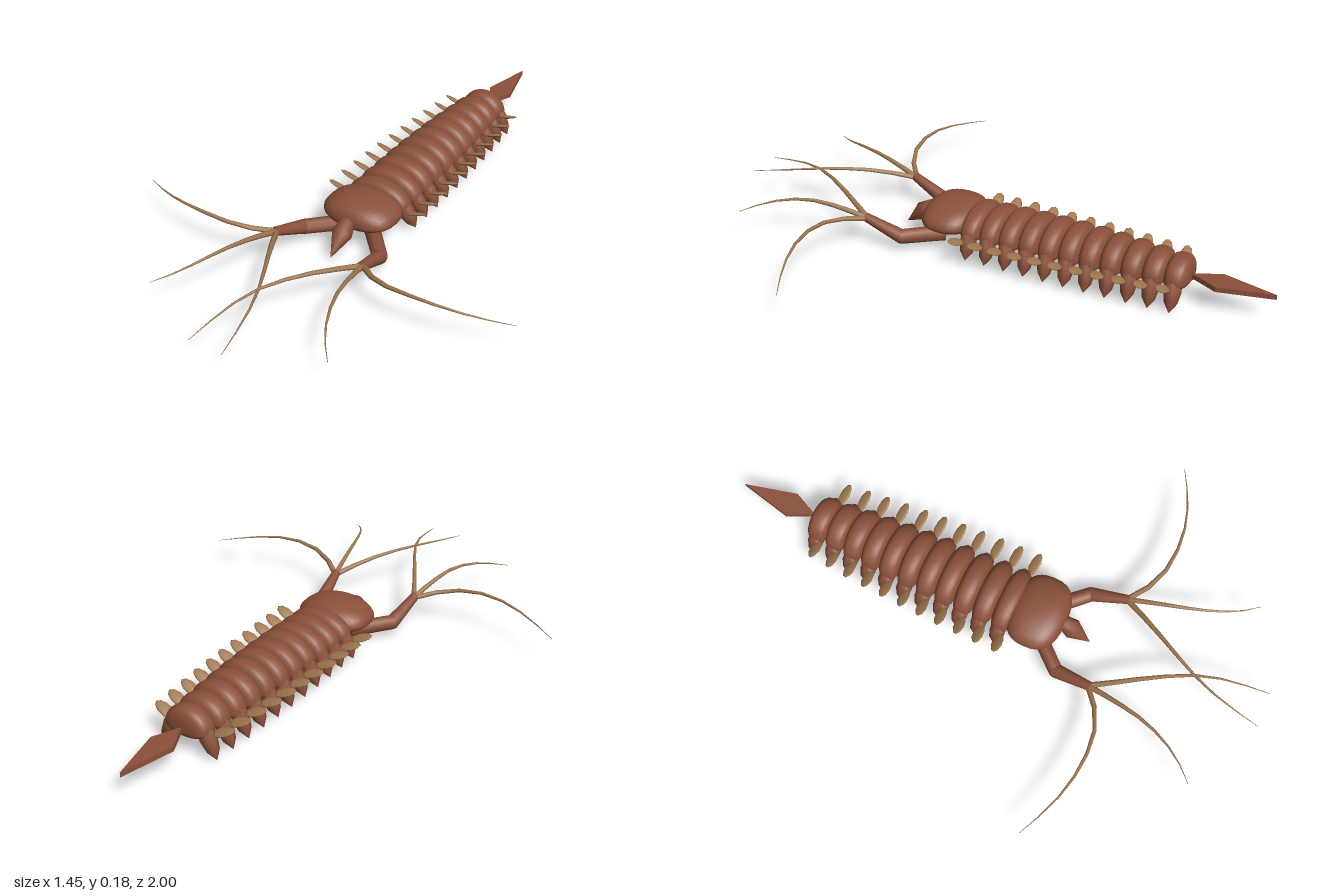
import * as THREE from 'three';

const V = (x, y, z) => new THREE.Vector3(x, y, z);

export function createModel() {
  const shell = new THREE.MeshStandardMaterial({ color: 0x8b503b });
  shell.name = 'reddish brown shell';
  const tan = new THREE.MeshStandardMaterial({ color: 0xa07850 });
  tan.name = 'tan limbs';
  const model = new THREE.Group();
  model.name = 'arthropod';

  const add = (name, geo, mat) => {
    const mesh = new THREE.Mesh(geo, mat);
    mesh.name = name;
    model.add(mesh);
    return mesh;
  };

  // Barrel-like dome along z with a shallow belly; a higher power gives squarer ends
  const dome = (name, y, z, rx, up, down, rz, power) => {
    const profile = [];
    for (let i = 0; i <= 16; i++) {
      const a = (i / 16 - 0.5) * Math.PI, s = Math.sin(a);
      profile.push(new THREE.Vector2(Math.abs(Math.cos(a)) ** (2 / power), Math.sign(s) * Math.abs(s) ** (2 / power)));
    }
    const geo = new THREE.LatheGeometry(profile, 28).rotateX(Math.PI / 2);
    const p = geo.attributes.position;
    for (let i = 0; i < p.count; i++) {
      const h = p.getY(i);
      p.setXYZ(i, p.getX(i) * rx, h * (h > 0 ? up : down), p.getZ(i) * rz);
    }
    geo.computeVertexNormals();
    add(name, geo, shell).position.set(0, y, z);
  };

  // Turned limb from a to b; rings are [radius, fraction of length]
  const limb = (name, a, b, rings, sides) => {
    const d = b.clone().sub(a), length = d.length();
    const geo = new THREE.LatheGeometry(rings.map(([r, t]) => new THREE.Vector2(r, t * length)), sides);
    const mesh = add(name, geo, shell);
    mesh.position.copy(a);
    mesh.quaternion.setFromUnitVectors(V(0, 1, 0), d.normalize());
  };

  // Whip: a tube whose rings shrink towards the tip
  const whip = (name, points) => {
    const n = 7, sides = 6;
    const curve = new THREE.CatmullRomCurve3(points);
    const geo = new THREE.TubeGeometry(curve, n, 0.0105, sides);
    const p = geo.attributes.position, v = V(0, 0, 0);
    for (let i = 0; i < p.count; i++) {
      const t = Math.floor(i / (sides + 1)) / n;
      const c = curve.getPointAt(t);
      v.fromBufferAttribute(p, i).sub(c).multiplyScalar(1 - 0.92 * t).add(c);
      p.setXYZ(i, v.x, v.y, v.z);
    }
    add(name, geo, tan);
  };

  // Head shield and pointed snout
  dome('headShield', 0.105, 0.167, 0.137, 0.062, 0.042, 0.1, 2.6);
  limb('snout', V(0, 0.122, 0.245), V(0, 0.024, 0.365), [[0, 0], [0.026, 0.12], [0.036, 0.42], [0, 1]], 10);

  // Eleven trunk segments, each with a pair of legs and paddles
  const count = 11;
  for (let i = 0; i < count; i++) {
    const t = i / (count - 1);
    const z = 0.06 - 0.735 * t;
    const w = 0.121 - 0.036 * t ** 2.2;
    const top = 0.166 + 0.014 * Math.sin(Math.PI * Math.min(1, t * 1.02)) - 0.004 * t;
    dome('trunkSegment', 0.09, z, w, top - 0.09, 0.03, 0.043, 2.9);
    for (const s of [-1, 1]) {
      // Downward walking leg, stout with a pointed end
      limb('leg', V(s * (w - 0.03), 0.1, z), V(s * (w + 0.022), 0.016 - 0.016 * t, z - 0.006),
        [[0, 0], [0.026, 0.05], [0.03, 0.35], [0.022, 0.7], [0, 1]], 8);
      // Flat outer paddle, flaring upward
      const paddle = add('paddle', new THREE.SphereGeometry(1, 10, 8), tan);
      paddle.scale.set(0.044, 0.006, 0.021);
      paddle.position.set(s * (w + 0.038 - 0.008 * t), 0.093, z + 0.019);
      paddle.rotation.set(-0.35, -s * 0.25, s * 0.3);
    }
  }

  // Flat kite-shaped tail spine
  const kite = new THREE.Shape([[0, 0.715], [0.045, 0.81], [0, 1], [-0.045, 0.81]]
    .map(([x, y]) => new THREE.Vector2(x, y)));
  const tail = add('tailSpine', new THREE.ExtrudeGeometry(kite, { depth: 0.018, bevelEnabled: false }), shell);
  tail.rotation.x = -Math.PI / 2;
  tail.position.y = 0.085;

  // Jointed front arms, each ending in three whips
  for (const s of [-1, 1]) {
    const P = (x, y, z) => V(s * x, y, z);
    const elbow = P(0.155, 0.053, 0.3), wrist = P(0.173, 0.108, 0.435);
    limb('upperArm', P(0.05, 0.045, 0.185), elbow, [[0, 0], [0.028, 0], [0.026, 1], [0, 1]], 10);
    add('elbow', new THREE.SphereGeometry(0.026, 12, 8), shell).position.copy(elbow);
    limb('forearm', elbow, wrist, [[0.026, 0], [0.016, 1], [0, 1]], 10);
    const base = P(0.172, 0.103, 0.425);
    whip('outerWhip', [base, P(0.27, 0.13, 0.495), P(0.38, 0.147, 0.517), P(0.5, 0.144, 0.508), P(0.61, 0.127, 0.475), P(0.725, 0.105, 0.42)]);
    whip('middleWhip', [base, P(0.192, 0.132, 0.53), P(0.217, 0.147, 0.64), P(0.25, 0.14, 0.73), P(0.29, 0.124, 0.8), P(0.342, 0.105, 0.86)]);
    whip('innerWhip', [base, P(0.115, 0.13, 0.53), P(0.06, 0.145, 0.625), P(0, 0.147, 0.74), P(-0.035, 0.134, 0.845), P(-0.062, 0.105, 1)]);
  }
  return model;
}
